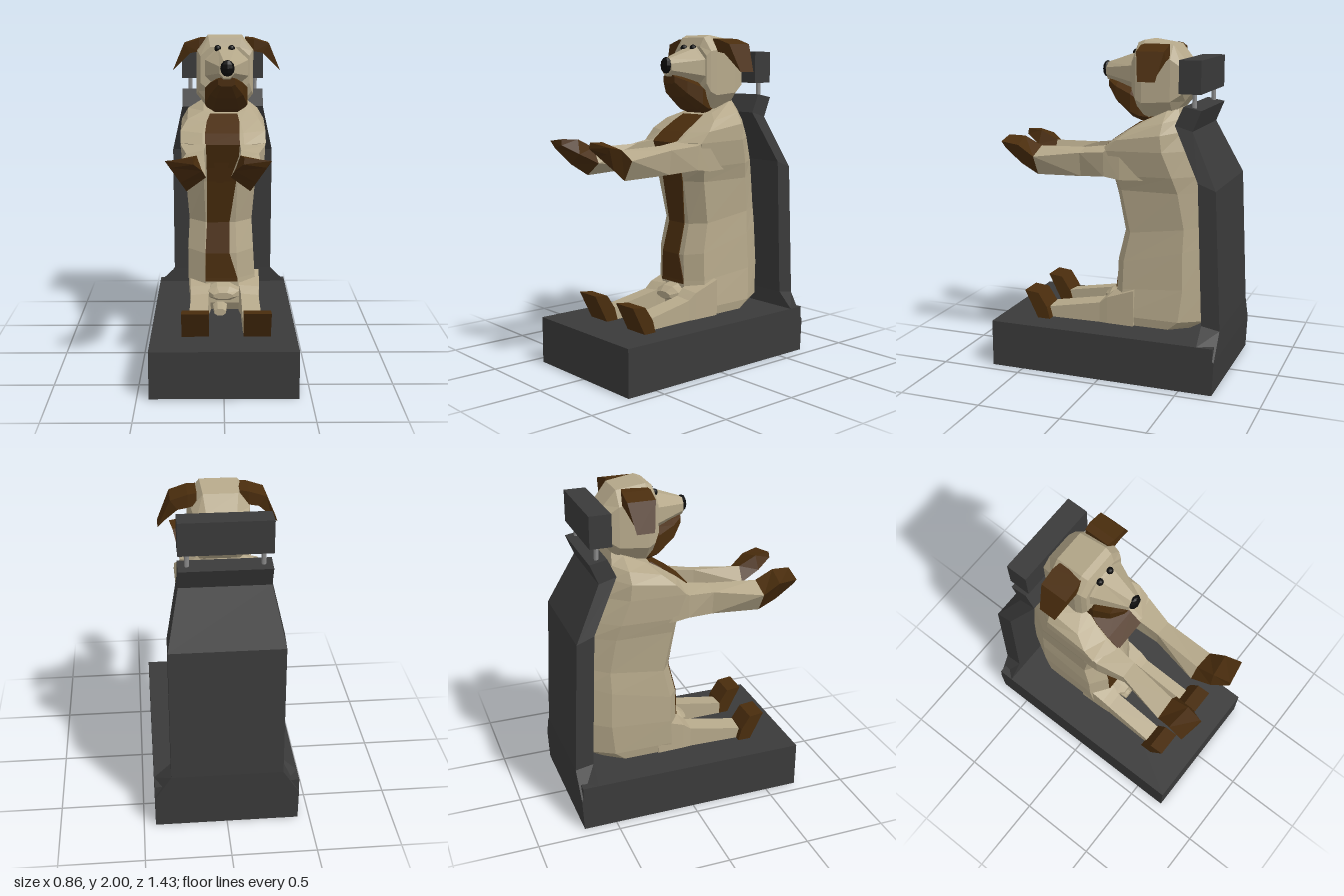
import * as THREE from 'three';

const mat = (color) => new THREE.MeshStandardMaterial({ color, flatShading: true, roughness: 0.9 });

// Skin a closed surface over rings of [x, y, z] points, with capped ends
function loft(rings) {
  const tris = [];
  const n = rings[0].length;
  for (let r = 0; r + 1 < rings.length; r++) {
    for (let i = 0; i < n; i++) {
      const j = (i + 1) % n, a = rings[r], b = rings[r + 1];
      tris.push([a[i], a[j], b[j]], [a[i], b[j], b[i]]);
    }
  }
  const first = rings[0], last = rings[rings.length - 1];
  for (let i = 1; i + 1 < n; i++) {
    tris.push([first[0], first[i + 1], first[i]], [last[0], last[i], last[i + 1]]);
  }
  // Turn all faces outward, whichever way the rings run
  const v = (p) => new THREE.Vector3(...p);
  let volume = 0;
  for (const [a, b, c] of tris) volume += v(a).dot(v(b).cross(v(c)));
  if (volume < 0) tris.forEach((t) => t.reverse());
  const geo = new THREE.BufferGeometry();
  geo.setAttribute('position', new THREE.Float32BufferAttribute(tris.flat(2), 3));
  geo.computeVertexNormals();
  return geo;
}

// Chamfered rectangle standing across z
function ringZ([z, hw, y0, y1], cx, chamfer = 0.3) {
  const dx = hw * 2 * chamfer, dy = (y1 - y0) * chamfer;
  return [[hw, y0 + dy], [hw, y1 - dy], [hw - dx, y1], [dx - hw, y1],
    [-hw, y1 - dy], [-hw, y0 + dy], [dx - hw, y0], [hw - dx, y0]]
    .map(([x, y]) => [cx + x, y, z]);
}

// Tilted torso section: front and back heights differ
function ringTorso([yf, yb, x0, x1, zf, zb]) {
  const w = x1 - x0, d = zf - zb;
  const at = (x, z) => [x, yf + (yb - yf) * (zf - z) / d, z];
  return [at(x0 + w * 0.26, zf), at(x1 - w * 0.26, zf), at(x1, zf - d * 0.12), at(x1, zb + d * 0.25),
    at(x1 - w * 0.2, zb), at(x0 + w * 0.2, zb), at(x0, zb + d * 0.25), at(x0, zf - d * 0.12)];
}

export function createModel() {
  const model = new THREE.Group();
  const cream = mat(0xb5a88a), brown = mat(0x4a2d0d), dark = mat(0x3a3a3a), black = mat(0x0b0b0b);
  const add = (name, geo, material, parent = model) => {
    const mesh = new THREE.Mesh(geo, material);
    mesh.name = name;
    parent.add(mesh);
    return mesh;
  };

  // Seat: cushion, bent back rest, head rest on two posts
  const seat = new THREE.Group();
  seat.name = 'seat';
  model.add(seat);
  add('seatCushion', new THREE.BoxGeometry(0.86, 0.285, 1.4), dark, seat).position.y = 0.1425;
  const backRest = [ // half width, front y, front z, back y, back z
    [0.43, 0, -0.6, 0, -0.7], [0.43, 0.285, -0.605, 0.2, -0.71], [0.33, 0.38, -0.605, 0.36, -0.715],
    [0.33, 1.22, -0.57, 1.18, -0.675], [0.26, 1.53, -0.41, 1.5, -0.515], [0.26, 1.64, -0.46, 1.62, -0.565],
  ];
  add('backRest', loft(backRest.map(([w, yf, zf, yb, zb]) =>
    [[-w, yf, zf], [w, yf, zf], [w, yb, zb], [-w, yb, zb]])), dark, seat);
  add('headRest', new THREE.BoxGeometry(0.52, 0.19, 0.13), dark, seat).position.set(0, 1.805, -0.495);
  for (const x of [-0.21, 0.21]) {
    add('headRestPost', new THREE.CylinderGeometry(0.014, 0.014, 0.16, 10), mat(0x8a8a8a), seat)
      .position.set(x, 1.67, -0.51);
  }

  // Torso, bottom to neck
  const torso = [
    [0.285, 0.285, -0.2, 0.21, -0.02, -0.48], [0.34, 0.34, -0.21, 0.22, 0.01, -0.575],
    [0.5, 0.55, -0.22, 0.2, 0.0, -0.6], [0.66, 0.8, -0.22, 0.19, -0.005, -0.59],
    [0.85, 0.92, -0.21, 0.18, -0.05, -0.58], [1.12, 1.12, -0.23, 0.2, 0.0, -0.55],
    [1.21, 1.22, -0.25, 0.23, 0.025, -0.52], [1.36, 1.37, -0.26, 0.26, 0.075, -0.465],
    [1.42, 1.48, -0.26, 0.26, 0.0, -0.425], [1.48, 1.55, -0.22, 0.22, -0.09, -0.4],
    [1.52, 1.62, -0.12, 0.14, -0.155, -0.38],
  ];
  add('torso', loft(torso.map(ringTorso)), cream);

  // Brown belly stripe, a thin strip on the front of the torso
  const stripe = [ // y, x0, x1, z
    [0.48, -0.11, 0.09, 0.002], [0.5, -0.11, 0.09, 0], [0.66, -0.11, 0.04, -0.005],
    [0.85, -0.1, 0.04, -0.05], [1.12, -0.1, 0.08, 0], [1.21, -0.1, 0.09, 0.025],
    [1.36, -0.11, 0.1, 0.075], [1.42, -0.11, 0.1, 0], [1.48, -0.1, 0.1, -0.09], [1.52, -0.08, 0.09, -0.15],
  ];
  add('bellyStripe', loft(stripe.map(([y, x0, x1, z]) =>
    [[x0, y, z + 0.006], [x1, y, z + 0.006], [x1, y - 0.004, z - 0.02], [x0, y - 0.004, z - 0.02]])), brown);
  // Breast bone under the chest
  add('chestKeel', loft([
    [[-0.07, 1.36, 0.075], [0.07, 1.36, 0.075], [0, 1.36, -0.03]],
    [[-0.04, 1.11, 0.005], [0, 1.11, 0.005], [-0.02, 1.11, -0.03]]]), brown);
  // Groin and tail between the legs
  add('groin', loft([ringZ([-0.05, 0.1, 0.36, 0.49], 0), ringZ([0.05, 0.1, 0.37, 0.46], 0),
    ringZ([0.09, 0.06, 0.39, 0.43], 0)]), cream);
  add('tail', loft([ringZ([-0.05, 0.05, 0.285, 0.36], -0.02), ringZ([0.1, 0.035, 0.285, 0.33], -0.02)]), cream);

  // Limbs, each corner order: outer top, inner top, inner bottom, outer bottom
  const arm = [
    [[0.22, 1.45, -0.22], [0.1, 1.45, -0.2], [0.1, 1.22, -0.2], [0.22, 1.19, -0.22]],
    [[0.255, 1.41, -0.07], [0.1, 1.42, -0.04], [0.1, 1.21, -0.05], [0.25, 1.19, -0.07]],
    [[0.255, 1.35, 0.03], [0.1, 1.37, 0.05], [0.1, 1.22, 0.03], [0.25, 1.205, 0.03]],
    [[0.22, 1.33, 0.2], [0.115, 1.35, 0.2], [0.12, 1.21, 0.2], [0.2, 1.185, 0.2]],
    [[0.28, 1.29, 0.5], [0.15, 1.34, 0.5], [0.1, 1.25, 0.5], [0.21, 1.17, 0.5]],
  ];
  const paw = [
    arm[4],
    [[0.3, 1.36, 0.59], [0.15, 1.395, 0.61], [0.12, 1.31, 0.62], [0.24, 1.24, 0.6]],
    [[0.32, 1.38, 0.69], [0.17, 1.4, 0.71], [0.165, 1.365, 0.715], [0.29, 1.34, 0.68]],
  ];
  const legRings = [[-0.15, 0.07, 0.21, 0.52], [0.02, 0.08, 0.205, 0.46], [0.07, 0.09, 0.2, 0.42], [0.4, 0.095, 0.21, 0.36]];
  const leg = legRings.map(([z, xi, xo, y]) => [[xo, y - 0.01, z], [xi, y, z], [xi, 0.285, z], [xo, 0.285, z]]);
  const foot = new THREE.Shape([[0.46, 0.285], [0.545, 0.455], [0.455, 0.445], [0.4, 0.36], [0.38, 0.285]]
    .map((p) => new THREE.Vector2(...p)));
  for (const [side, s] of [['left', 1], ['right', -1]]) {
    // The left hand reaches further inward
    const place = (rings) => rings.map((r) => r.map(([x, y, z]) =>
      [s * x - (s > 0 ? 0.06 * THREE.MathUtils.smoothstep(z, 0.1, 0.5) : 0), y, z]));
    add(side + 'Arm', loft(place(arm)), cream);
    add(side + 'Paw', loft(place(paw)), brown);
    add(side + 'Leg', loft(leg.map((r) => r.map(([x, y, z]) => [s * x + (s > 0 ? 0.02 : 0), y, z]))), cream);
    const footGeo = new THREE.ExtrudeGeometry(foot, { depth: 0.16, bevelEnabled: false });
    footGeo.translate(0, 0, -0.08).rotateY(-Math.PI / 2);
    add(side + 'Foot', footGeo, brown).position.x = s > 0 ? 0.197 : -0.167;
  }

  // Head: skull, snout, lower jaw
  const head = new THREE.Group();
  head.name = 'head';
  model.add(head);
  const cx = 0.012;
  const skull = [
    [-0.45, 0.11, 1.69, 1.82], [-0.42, 0.14, 1.65, 1.89], [-0.35, 0.16, 1.57, 1.975],
    [-0.18, 0.175, 1.55, 2.0], [-0.14, 0.165, 1.58, 1.985], [-0.115, 0.15, 1.66, 1.93],
  ];
  add('skull', loft(skull.map((r) => ringZ(r, cx, 0.2))), cream, head);
  add('snout', loft([[-0.15, 0.15, 1.66, 1.95], [-0.1, 0.125, 1.69, 1.92], [0.08, 0.045, 1.76, 1.86]]
    .map((r) => ringZ(r, cx + 0.01))), cream, head);
  add('lowerJaw', loft([[-0.2, 0.1, 1.53, 1.64], [-0.15, 0.12, 1.53, 1.68], [-0.1, 0.13, 1.55, 1.72],
    [0.0, 0.1, 1.63, 1.75], [0.06, 0.05, 1.71, 1.765]].map((r) => ringZ(r, cx + 0.008, 0.2))), brown, head);
  const nose = add('nose', new THREE.SphereGeometry(0.045, 8, 6), black, head);
  nose.position.set(0.025, 1.82, 0.085);
  nose.scale.set(0.95, 1.1, 0.6);
  for (const x of [-0.032, 0.052]) {
    const eye = add('eye', new THREE.SphereGeometry(0.021, 12, 8), black, head);
    eye.position.set(x, 1.922, -0.105);
  }

  // Floppy ears: out from the skull, then bent down
  const ear = [ // upper x, y; lower x, y; front z; back z
    [0.12, 1.98, 0.12, 1.91, -0.19, -0.34], [0.17, 1.975, 0.17, 1.9, -0.18, -0.35],
    [0.265, 1.945, 0.225, 1.89, -0.185, -0.35], [0.335, 1.78, 0.3, 1.815, -0.215, -0.32],
  ];
  for (const [side, s, dx, dz] of [['left', 1, 0.02, 0], ['right', -1, 0.025, 0.035]]) {
    add(side + 'Ear', loft(ear.map(([xu, yu, xl, yl, zf, zb]) =>
      [[xu, yu, zf], [xu, yu, zb], [xl, yl, zb], [xl, yl, zf]]
        .map(([x, y, z]) => [s * (x + (s > 0 ? dx : -dx)), y, z + dz * 0.5]))), brown, head);
  }
  return model;
}
